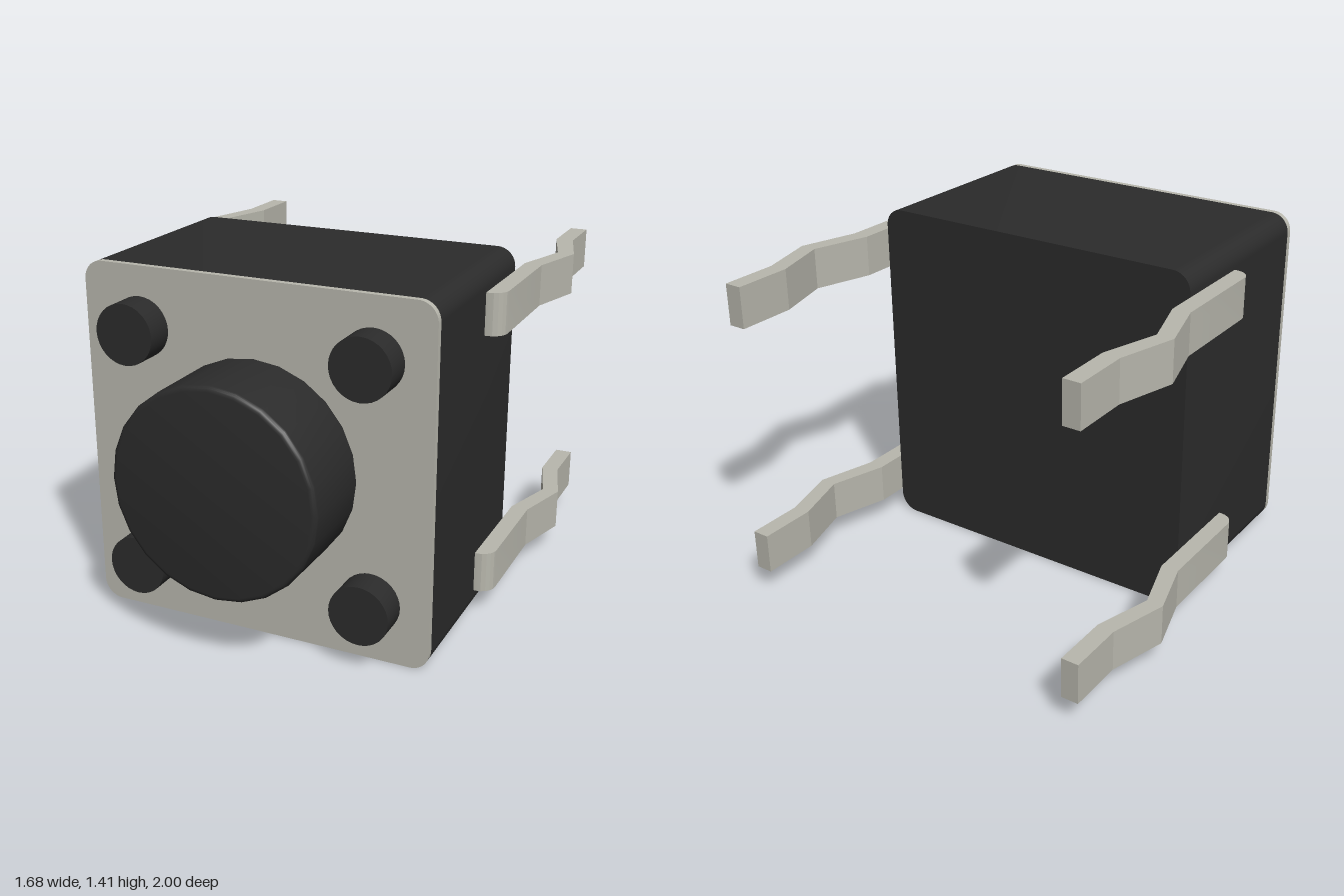
import * as THREE from 'three';
import { toCreasedNormals } from 'three/addons/utils/BufferGeometryUtils.js';

const SIZE = 1.41, HALF = SIZE / 2;
const dark = new THREE.MeshStandardMaterial({ color: 0x2b2b2b });
const metal = new THREE.MeshStandardMaterial({ color: 0xb8b7ad });

function addMesh(parent, name, geometry, material, x = 0, y = 0, z = 0) {
  const mesh = new THREE.Mesh(toCreasedNormals(geometry, 0.6), material);
  mesh.name = name;
  mesh.position.set(x, y, z);
  parent.add(mesh);
  return mesh;
}

// Square with rounded corners, extruded along z
function roundedSlab(depth, r) {
  const h = HALF, s = new THREE.Shape();
  s.moveTo(-h + r, -h);
  s.absarc(h - r, -h + r, r, -Math.PI / 2, 0);
  s.absarc(h - r, h - r, r, 0, Math.PI / 2);
  s.absarc(-h + r, h - r, r, Math.PI / 2, Math.PI);
  s.absarc(-h + r, -h + r, r, Math.PI, Math.PI * 1.5);
  s.closePath();
  return new THREE.ExtrudeGeometry(s, { depth, bevelEnabled: false, curveSegments: 6 });
}

// Round peg pointing to +z with a softened front edge
function peg(radius, depth, edge, sides) {
  const pts = [new THREE.Vector2(0, 0), new THREE.Vector2(radius, 0)];
  if (edge > 0) {
    for (let i = 0; i <= 4; i++) {
      const a = (i / 4) * Math.PI / 2;
      pts.push(new THREE.Vector2(radius - edge + edge * Math.cos(a), depth - edge + edge * Math.sin(a)));
    }
  } else pts.push(new THREE.Vector2(radius, depth));
  pts.push(new THREE.Vector2(0, depth));
  return new THREE.LatheGeometry(pts, sides).rotateX(Math.PI / 2);
}

// Kinked flat lead: outline drawn in (x, -z), extruded upwards
function lead(side) {
  const x0 = HALF, x1 = 0.775, x2 = 0.842, r = 0.06;
  const outline = [[x0, -0.175]];
  for (let i = 0; i <= 5; i++) {
    const a = (i / 5) * Math.PI / 2;
    outline.push([x1 - r + r * Math.sin(a), -0.175 + r - r * Math.cos(a)]);
  }
  outline.push([x1, 0.3], [x2, 0.535], [x1, 0.77], [x1, 1], [x0, 1], [x0, 0.765], [x1, 0.535], [x0, 0.305]);
  const shape = new THREE.Shape(outline.map(([x, y]) => new THREE.Vector2(x * side, y)));
  const g = new THREE.ExtrudeGeometry(shape, { depth: 0.165, bevelEnabled: false });
  return toCreasedNormals(g.rotateX(-Math.PI / 2), 0.2);
}

export function createModel() {
  const group = new THREE.Group();
  group.name = 'pushButtonSwitch';

  // Housing and front cover
  addMesh(group, 'housing', roundedSlab(0.82, 0.075), dark, 0, HALF, -0.175);
  addMesh(group, 'coverPlate', roundedSlab(0.025, 0.075), metal, 0, HALF, 0.645);

  // Central plunger
  addMesh(group, 'button', peg(0.41, 0.335, 0.02, 24), dark, 0, HALF, 0.665);

  // Four corner pegs and four leads
  for (const side of [1, -1]) {
    for (const level of [1, -1]) {
      const where = (level > 0 ? 'upper' : 'lower') + (side > 0 ? 'Left' : 'Right');
      addMesh(group, where + 'Peg', peg(0.118, 0.12, 0, 32), dark, side * 0.47, HALF + level * 0.47, 0.665);
      const leg = new THREE.Mesh(lead(side), metal);
      leg.name = where + 'Lead';
      leg.position.y = level > 0 ? 1.155 : 0.095;
      group.add(leg);
    }
  }
  return group;
}
